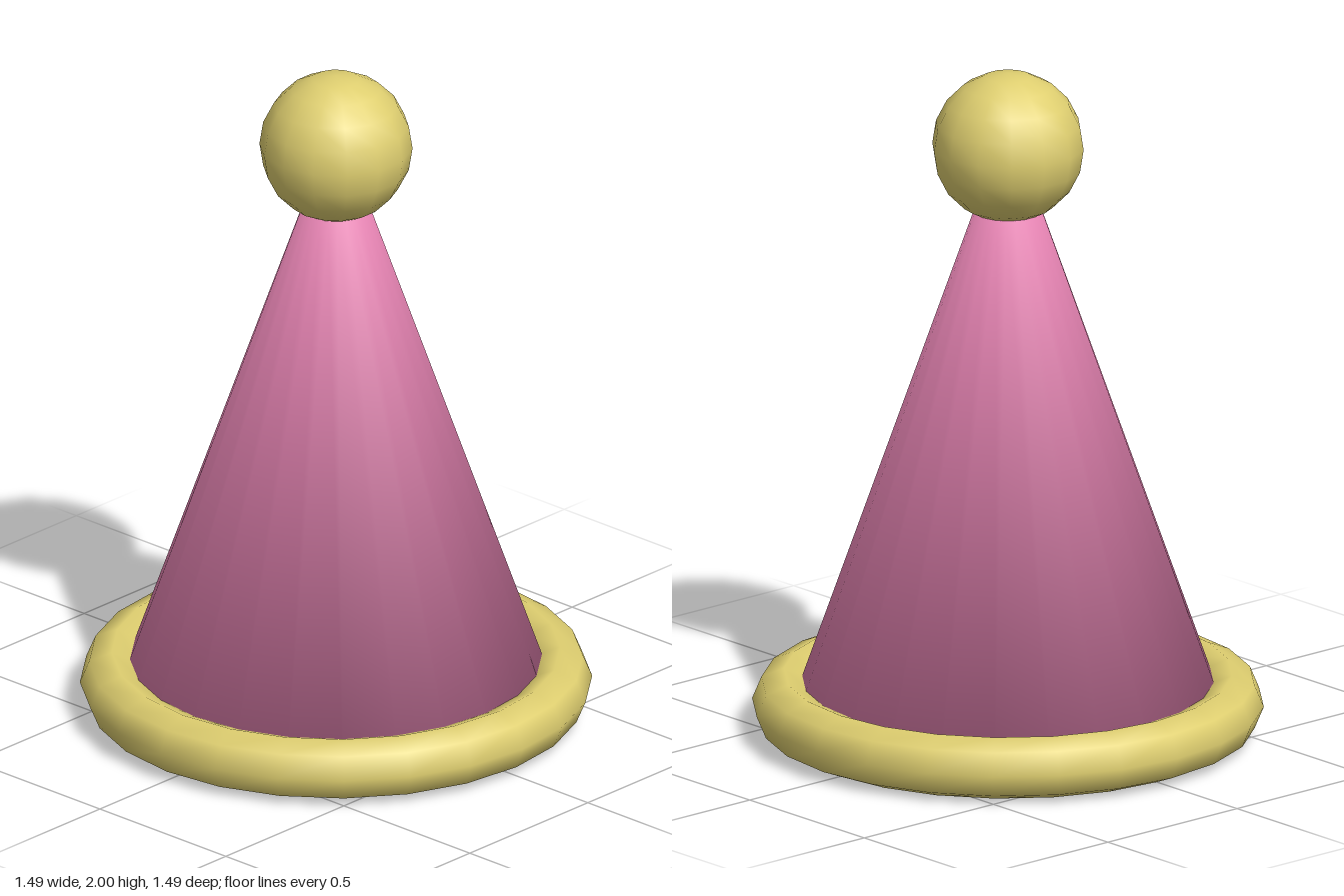
import * as THREE from 'three';

const SIDES = 24;

export function createModel() {
  const pink = new THREE.MeshStandardMaterial({ color: 0xe080ae });
  pink.name = 'pink';
  const yellow = new THREE.MeshStandardMaterial({ color: 0xdfcf70 });
  yellow.name = 'yellow';

  const hat = new THREE.Group();
  hat.name = 'partyHat';
  const add = (name, geometry, material, y = 0) => {
    const mesh = new THREE.Mesh(geometry, material);
    mesh.name = name;
    mesh.position.y = y;
    hat.add(mesh);
  };

  // Closed cone body: [radius, height] profile, smooth across its rims
  const profile = [[0, 0.0125], [0.65, 0.0125], [0.1, 1.58], [0, 1.58]];
  const cone = new THREE.LatheGeometry(profile.map(([r, y]) => new THREE.Vector2(r, y)), SIDES);

  // Rim normals blend wall and cap equally: [outward, up] per profile point
  const blend = [[0, -0.58], [0.81, -0.58], [0.58, 0.82], [0, 0.82]];
  const normal = cone.attributes.normal;
  for (let i = 0; i < normal.count; i++) {
    const [out, up] = blend[i % blend.length];
    const angle = Math.floor(i / blend.length) / SIDES * Math.PI * 2;
    normal.setXYZ(i, out * Math.sin(angle), up, out * Math.cos(angle));
  }
  add('coneBody', cone, pink);

  // Padded ring around the base
  const ring = new THREE.TorusGeometry(0.65, 0.0925, 8, SIDES).rotateX(-Math.PI / 2);
  add('brimRing', ring, yellow, 0.0925);

  // Ball on the tip
  const ball = new THREE.SphereGeometry(0.2225, 14, 10).rotateY(Math.PI / 2);
  add('tipBall', ball, yellow, 1.7775);

  return hat;
}
